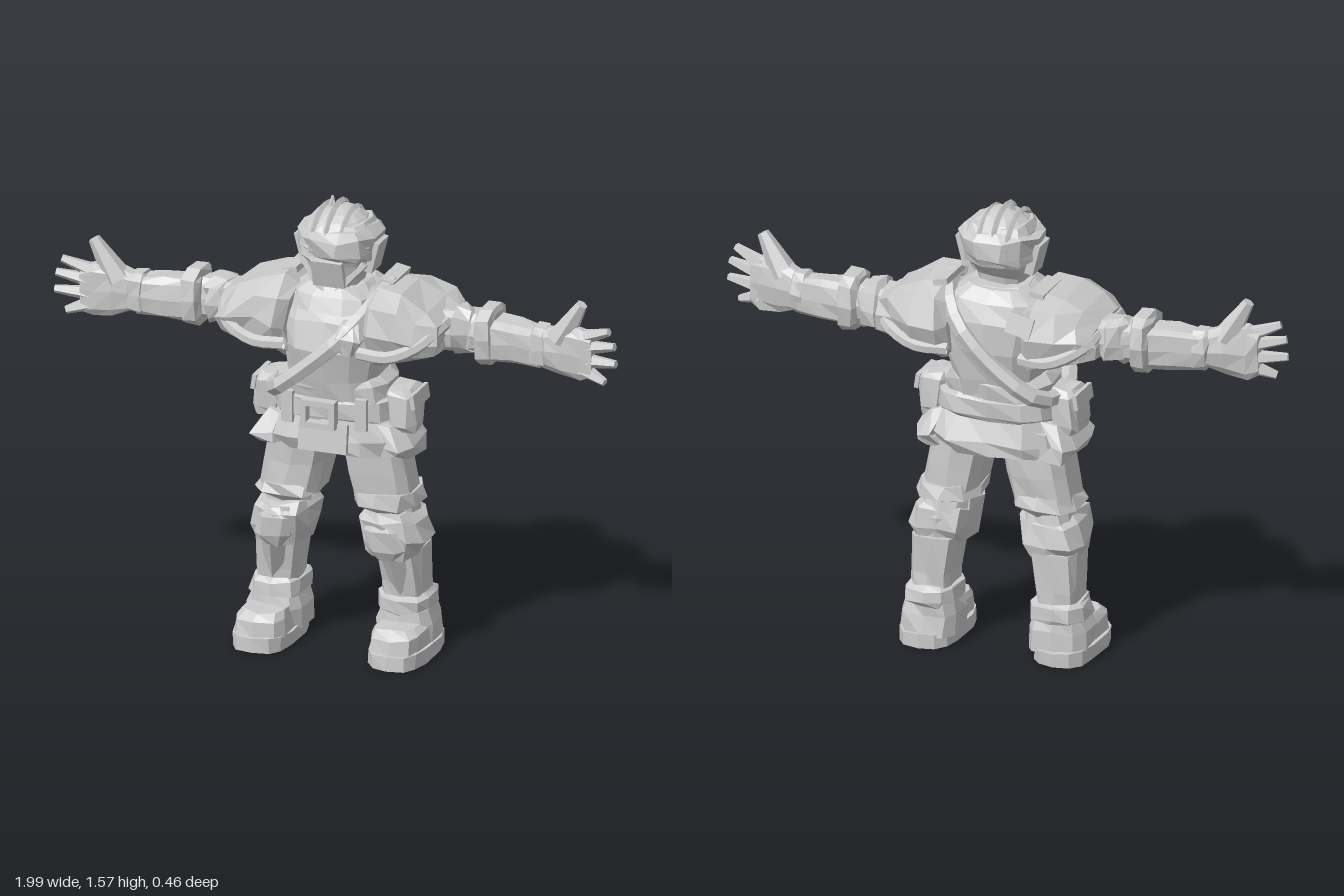
import * as THREE from 'three';

const grey = new THREE.MeshStandardMaterial({ color: 0xcccccc, flatShading: true, side: THREE.DoubleSide });
grey.name = 'plain grey';

export function createModel() {
  const model = new THREE.Group();
  let seed = 7;
  const rnd = () => ((seed = (seed * 16807) % 2147483647) / 2147483647) - 0.5;

  const add = (name, geo) => {
    const m = new THREE.Mesh(geo, grey);
    m.name = name;
    model.add(m);
    return m;
  };

  // Capped loft. Sections: [along, centreA, centreB, radiusA, radiusB]; A,B = x,z (axis y) or y,z (axis x)
  function loft(name, rows, { axis = 'y', n = 12, pow = 0.7, rough = 0.012 } = {}) {
    const pos = [], idx = [];
    const put = (t, a, b) => (axis === 'y' ? pos.push(a, Math.max(0, t), b) : pos.push(t, a, b));
    const sp = (v) => Math.sign(v) * Math.abs(v) ** pow;
    for (const [t, a, b, ra, rb] of rows)
      for (let i = 0; i < n; i++) {
        const w = ((i + 0.5) / n) * Math.PI * 2;
        put(t + rnd() * rough, a + ra * sp(Math.cos(w)) + rnd() * rough, b + rb * sp(Math.sin(w)) + rnd() * rough);
      }
    const last = rows[rows.length - 1], end = rows.length * n;
    put(...rows[0].slice(0, 3));
    put(...last.slice(0, 3));
    const flip = (axis === 'y') === last[0] > rows[0][0];
    const tri = (a, b, c) => (flip ? idx.push(a, c, b) : idx.push(a, b, c));
    for (let i = 0; i < n; i++) {
      const j = (i + 1) % n;
      for (let r = 0; r < rows.length - 1; r++) {
        const l = r * n, u = l + n;
        tri(l + i, l + j, u + j);
        tri(l + i, u + j, u + i);
      }
      tri(end, j, i);
      tri(end + 1, end - n + i, end - n + j);
    }
    const g = new THREE.BufferGeometry();
    g.setAttribute('position', new THREE.Float32BufferAttribute(pos, 3));
    g.setIndex(idx);
    g.computeVertexNormals();
    return add(name, g);
  }

  // Tapered rod between two points
  function rod(name, p, q, r0, r1, n = 6) {
    const a = new THREE.Vector3(...p), d = new THREE.Vector3(...q).sub(a);
    const m = add(name, new THREE.CylinderGeometry(r1, r0, d.length(), n));
    m.position.copy(a).addScaledVector(d, 0.5);
    m.quaternion.setFromUnitVectors(new THREE.Vector3(0, 1, 0), d.normalize());
    return m;
  }
  const box = (name, size, at, rot = [0, 0, 0]) => {
    const m = add(name, new THREE.BoxGeometry(...size));
    m.position.set(...at);
    m.rotation.set(...rot);
    return m;
  };
  const tube = (name, pts, r, closed = false) =>
    add(name, new THREE.TubeGeometry(new THREE.CatmullRomCurve3(pts.map((p) => new THREE.Vector3(...p)), closed), 24, r, 6, closed));

  // Torso and jacket
  loft('jacket', [[0.86, 0, 0, 0.17, 0.13], [0.97, 0, 0, 0.16, 0.155], [1.08, 0, 0, 0.18, 0.178],
    [1.18, 0, -0.01, 0.2, 0.17], [1.25, 0, -0.02, 0.17, 0.14], [1.29, 0, -0.02, 0.11, 0.1]], { n: 14 });
  loft('collar', [[1.21, 0, 0.01, 0.15, 0.14], [1.26, 0, 0, 0.14, 0.13], [1.29, 0, 0, 0.1, 0.1]]);
  loft('jacketSkirt', [[0.71, 0, 0, 0.21, 0.15], [0.76, 0, 0, 0.235, 0.165], [0.85, 0, 0, 0.19, 0.13]], { n: 14, rough: 0.025 });
  loft('belt', [[0.83, 0, 0, 0.2, 0.14], [0.84, 0, 0, 0.215, 0.15], [0.9, 0, 0, 0.21, 0.15], [0.91, 0, 0, 0.19, 0.13]], { n: 14 });
  loft('jacketHem', [[0.9, 0, 0, 0.19, 0.14], [0.95, 0, 0, 0.19, 0.15], [0.98, 0, 0, 0.16, 0.14]], { n: 14, rough: 0.02 });
  for (const s of [-1, 1]) {
    box('buckleSide', [0.02, 0.09, 0.035], [-0.01 + s * 0.05, 0.865, 0.17]);
    box('buckleBar', [0.12, 0.02, 0.035], [-0.01, 0.865 + s * 0.038, 0.17]);
  }
  box('frontFlap', [0.17, 0.1, 0.02], [0, 0.78, 0.155], [-0.12, 0, 0]);

  // Sash from the left shoulder to the right hip
  tube('sash', [[0.15, 1.24, 0.1], [0.08, 1.15, 0.19], [-0.05, 1.03, 0.195], [-0.16, 0.94, 0.17], [-0.21, 0.91, 0],
    [-0.17, 0.93, -0.14], [-0.03, 1.04, -0.18], [0.1, 1.18, -0.17], [0.17, 1.28, -0.05]], 0.03, true);
  loft('sashKnot', [[1.1, 0.1, 0.185, 0.03, 0.02], [1.15, 0.1, 0.19, 0.055, 0.03], [1.2, 0.1, 0.17, 0.03, 0.02]], { n: 8 });
  box('backPatch', [0.09, 0.07, 0.025], [-0.14, 1.21, -0.205], [0.25, 0, 0.2]);

  // Head, mask and helmet
  loft('head', [[1.24, 0, 0.02, 0.07, 0.07], [1.31, 0, 0.015, 0.085, 0.085], [1.36, 0, 0, 0.105, 0.11],
    [1.42, 0, 0, 0.125, 0.135], [1.47, 0, -0.01, 0.12, 0.12], [1.5, 0, -0.01, 0.1, 0.1]]);
  box('maskFront', [0.11, 0.1, 0.02], [0, 1.34, 0.11], [0.3, 0, 0]);
  const dome = add('helmet', new THREE.SphereGeometry(1, 12, 6, 0, Math.PI * 2, 0, Math.PI / 2));
  dome.position.set(0, 1.42, -0.01);
  dome.scale.set(0.125, 0.12, 0.135);
  loft('helmetBand', [[1.38, 0, -0.005, 0.125, 0.135], [1.4, 0, -0.005, 0.135, 0.148], [1.46, 0, -0.005, 0.14, 0.15], [1.48, 0, -0.005, 0.115, 0.125]],
    { pow: 0.9, rough: 0.02 });
  for (const [x, h] of [[-0.06, 0.12], [-0.01, 0.135], [0.04, 0.12]]) {
    const rib = add('helmetRib', new THREE.TorusGeometry(1, 0.1, 4, 10, Math.PI));
    rib.rotation.y = Math.PI / 2;
    rib.position.set(x, 1.41, -0.01);
    rib.scale.set(0.13, h, 0.11);
  }
  rod('crest', [-0.03, 1.52, 0], [-0.03, 1.568, -0.01], 0.018, 0.004, 4);

  for (const s of [-1, 1]) {
    // Head side flaps
    box('earFlap', [0.03, 0.11, 0.09], [s * 0.122, 1.385, -0.01], [0, 0, s * -0.25]);
    rod('chinStrap', [s * 0.11, 1.37, 0.06], [s * 0.02, 1.27, 0.1], 0.014, 0.014, 5);

    // Shoulder armour with a rolled rim
    const arm = (name, rows, rough = 0.01, pow = 0.7) =>
      loft(name, rows.map(([x, ...r]) => [s * x, ...r]), { axis: 'x', n: 10, rough, pow });
    arm('shoulderPad', [[0.13, 1.15, -0.015, 0.115, 0.17], [0.17, 1.16, -0.015, 0.14, 0.205], [0.25, 1.17, -0.015, 0.125, 0.205],
      [0.33, 1.16, -0.015, 0.09, 0.19], [0.38, 1.15, -0.015, 0.06, 0.15]], 0.025, 0.65);
    tube('shoulderRim', [[s * 0.13, 1.1, 0.18], [s * 0.24, 1.1, 0.185], [s * 0.33, 1.14, 0.165], [s * 0.375, 1.18, 0.08],
      [s * 0.375, 1.18, -0.07], [s * 0.34, 1.14, -0.18], [s * 0.24, 1.09, -0.205], [s * 0.13, 1.08, -0.18]], 0.022);
    box('shoulderStrap', [0.05, 0.02, 0.16], [s * 0.17, 1.295, -0.06], [0, 0, s * -0.2]);

    // Arm, sleeve bands and gauntlet
    arm('upperArm', [[0.3, 1.15, -0.03, 0.07, 0.09], [0.4, 1.15, -0.04, 0.07, 0.07], [0.5, 1.15, -0.04, 0.07, 0.06]]);
    arm('sleeveFold', [[0.39, 1.15, -0.04, 0.06, 0.06], [0.41, 1.15, -0.04, 0.08, 0.08], [0.46, 1.15, -0.04, 0.08, 0.07], [0.47, 1.15, -0.04, 0.06, 0.06]], 0.025);
    arm('elbowBand', [[0.485, 1.15, -0.035, 0.08, 0.07], [0.495, 1.15, -0.035, 0.1, 0.095], [0.54, 1.15, -0.035, 0.1, 0.095], [0.55, 1.15, -0.035, 0.08, 0.07]]);
    arm('forearm', [[0.53, 1.14, -0.03, 0.075, 0.075], [0.62, 1.14, -0.02, 0.07, 0.065], [0.71, 1.135, -0.01, 0.065, 0.055]], 0.01, 0.55);
    arm('wristCuff', [[0.68, 1.14, -0.01, 0.06, 0.05], [0.69, 1.14, -0.01, 0.075, 0.06], [0.73, 1.14, -0.005, 0.07, 0.055], [0.74, 1.14, 0, 0.055, 0.045]]);
    arm('palm', [[0.72, 1.14, 0, 0.065, 0.045], [0.79, 1.145, 0.01, 0.09, 0.045], [0.86, 1.14, 0.02, 0.095, 0.032], [0.9, 1.14, 0.025, 0.08, 0.025]]);
    rod('thumb', [s * 0.78, 1.18, 0.01], [s * 0.86, 1.315, 0.02], 0.05, 0.02);
    const fingers = [[1.2, 0.965, 1.24], [1.165, 0.985, 1.19], [1.12, 0.99, 1.13], [1.09, 0.95, 1.06]];
    for (const [y0, x, y] of fingers) rod('finger', [s * 0.86, y0, 0.02], [s * x, y, 0.045], 0.028, 0.014, 5);

    // Belt pouches
    loft('pouch', [[0.79, s * 0.23, 0, 0.05, 0.07], [0.82, s * 0.235, 0, 0.05, 0.08], [0.92, s * 0.23, 0, 0.05, 0.08], [0.94, s * 0.22, 0, 0.04, 0.06]], { n: 8, pow: 0.5 });
    box('pouchFlap', [0.015, 0.05, 0.14], [s * 0.28, 0.905, 0], [0, 0, s * 0.15]);
    box('beltLoop', [0.04, 0.11, 0.02], [s * 0.13, 0.87, 0.145]);
    loft('hipFlap', [[0.71, s * 0.21, 0, 0.06, 0.13], [0.75, s * 0.235, 0, 0.055, 0.14], [0.83, s * 0.19, 0, 0.04, 0.1]], { n: 8, rough: 0.03 });

    // Leg
    const leg = (name, rows, o) => loft(name, rows.map(([y, x, ...r]) => [y, s * x, ...r]), { n: 10, ...o });
    leg('thigh', [[0.54, 0.165, -0.015, 0.105, 0.11], [0.64, 0.145, -0.015, 0.105, 0.115], [0.8, 0.115, -0.01, 0.105, 0.12]], { pow: 0.6 });
    leg('trouserHem', [[0.51, 0.17, -0.015, 0.08, 0.1], [0.53, 0.17, -0.015, 0.11, 0.13], [0.57, 0.165, -0.015, 0.105, 0.12]], { rough: 0.02 });
    leg('knee', [[0.36, 0.2, -0.03, 0.075, 0.09], [0.45, 0.19, -0.03, 0.085, 0.1], [0.53, 0.175, -0.02, 0.08, 0.09]]);
    leg('kneeCuff', [[0.36, 0.2, -0.01, 0.09, 0.11], [0.41, 0.2, -0.01, 0.11, 0.13], [0.48, 0.185, 0, 0.1, 0.13], [0.5, 0.18, 0, 0.08, 0.1]], { rough: 0.025 });
    leg('kneePad', [[0.35, 0.2, 0.075, 0.03, 0.03], [0.39, 0.2, 0.085, 0.07, 0.035], [0.46, 0.19, 0.095, 0.065, 0.035], [0.49, 0.185, 0.09, 0.04, 0.03]], { n: 8 });
    leg('shin', [[0.15, 0.225, -0.05, 0.07, 0.08], [0.25, 0.222, -0.045, 0.075, 0.085], [0.38, 0.21, -0.035, 0.085, 0.1]], { pow: 0.55 });
    rod('shinGuard', [s * 0.225, 0.22, 0.01], [s * 0.205, 0.39, 0.065], 0.03, 0.05, 5);

    // Boot
    leg('bootCuff', [[0.145, 0.225, -0.05, 0.08, 0.1], [0.155, 0.225, -0.05, 0.095, 0.115], [0.2, 0.225, -0.05, 0.09, 0.11], [0.21, 0.225, -0.05, 0.075, 0.09]], { rough: 0.015 });
    leg('bootHeel', [[0.04, 0.23, -0.045, 0.1, 0.11], [0.11, 0.228, -0.045, 0.1, 0.105], [0.16, 0.225, -0.045, 0.085, 0.1]], { pow: 0.6 });
    leg('bootToe', [[0.04, 0.238, 0.06, 0.09, 0.125], [0.1, 0.238, 0.06, 0.085, 0.115], [0.125, 0.232, 0.05, 0.07, 0.1]], { pow: 0.6 });
    leg('sole', [[0, 0.238, 0.015, 0.1, 0.185], [0.05, 0.238, 0.015, 0.1, 0.185]], { n: 14, rough: 0.006 });
  }
  return model;
}
